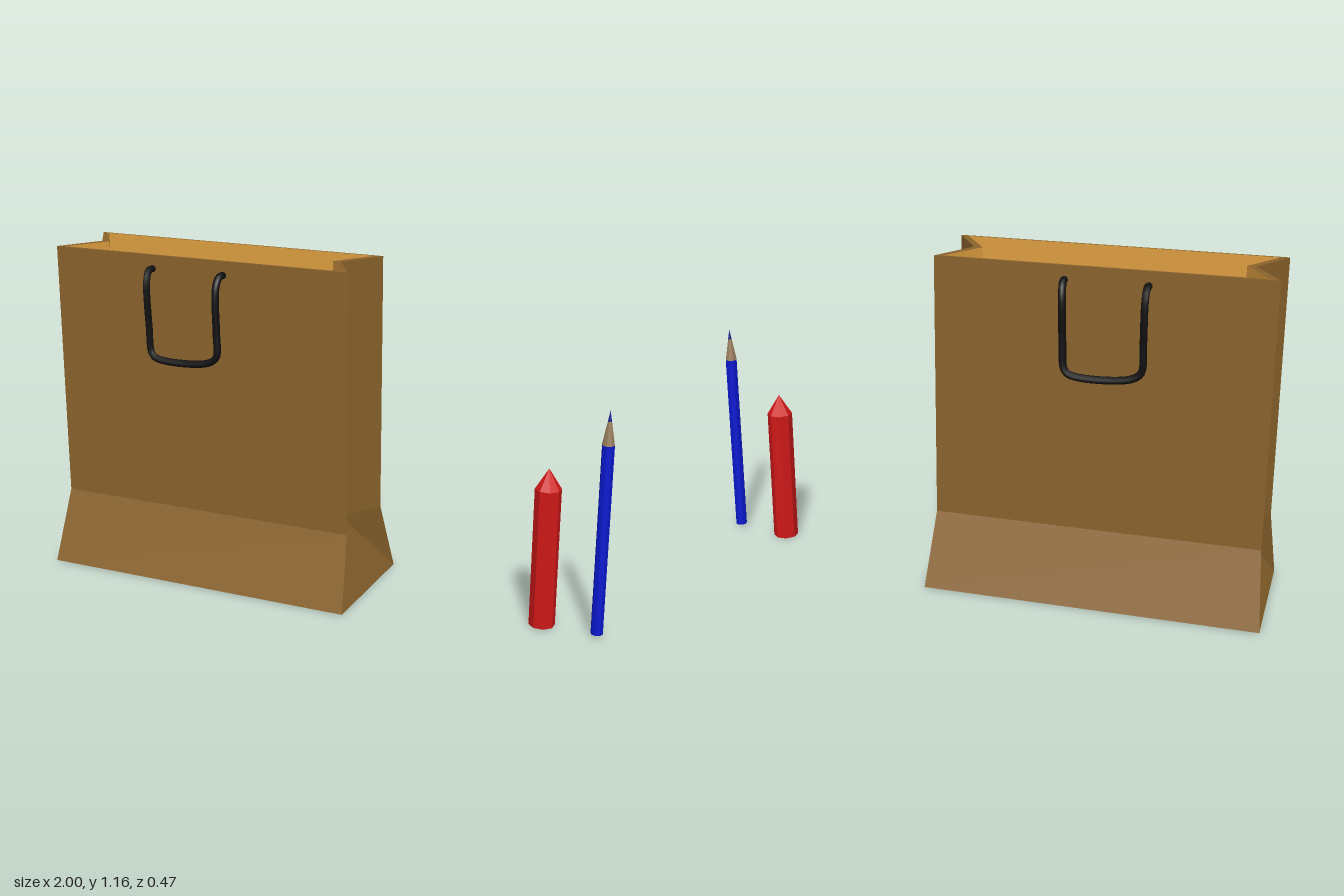
import * as THREE from 'three';

const CX = -0.425; // middle of the bag in x

// six-point section: front edge, right fold, back edge, left fold
function ring(y, halfX, foldX, halfZ) {
  return [[-halfX, halfZ], [halfX, halfZ], [foldX, 0], [halfX, -halfZ], [-halfX, -halfZ], [-foldX, 0]]
    .map(([x, z]) => new THREE.Vector3(CX + x, y, z));
}

function material(color, options = {}) {
  return new THREE.MeshStandardMaterial({ color, ...options });
}

function facetedMesh(name, triangles, color) {
  const geometry = new THREE.BufferGeometry().setFromPoints(triangles);
  geometry.computeVertexNormals();
  const mesh = new THREE.Mesh(geometry, material(color, { side: THREE.DoubleSide }));
  mesh.name = name;
  return mesh;
}

// walls between two sections; the diagonals run into the side folds
function band(lower, upper) {
  const out = [];
  for (let i = 0; i < 6; i++) {
    const j = (i + 1) % 6;
    const [a, b, c, d] = [lower[i], lower[j], upper[j], upper[i]];
    if (i === 2 || i === 5) out.push(a, b, d, b, c, d);
    else out.push(a, b, c, a, c, d);
  }
  return out;
}

const cap = r => [r[0], r[1], r[3], r[0], r[3], r[4]];

function flip(t) {
  const out = [];
  for (let i = 0; i < t.length; i += 3) out.push(t[i], t[i + 2], t[i + 1]);
  return out;
}

function createBag() {
  const bag = new THREE.Group();
  bag.name = 'paperBag';
  const outer = [ring(0, 0.575, 0.575, 0.237), ring(0.255, 0.555, 0.465, 0.15), ring(1.16, 0.555, 0.465, 0.15)];
  const inner = [ring(0.01, 0.55, 0.55, 0.225), ring(0.255, 0.525, 0.435, 0.141), ring(1.16, 0.525, 0.435, 0.141)];
  const brown = 0x8a632c;
  bag.add(
    facetedMesh('bagOutside', [...band(outer[0], outer[1]), ...band(outer[1], outer[2]), ...flip(cap(outer[0]))], brown),
    facetedMesh('bagRim', band(outer[2], inner[2]), brown),
    facetedMesh('bagInside', [...flip(band(inner[0], inner[1])), ...flip(band(inner[1], inner[2])), ...cap(inner[0])], 0xdd9e40)
  );
  return bag;
}

// cord handle hanging from the panel, x measured from the handle's middle
function createHandle(name) {
  const points = [
    [-0.145, 1.112, 0.145], [-0.143, 1.11, 0.18], [-0.138, 1.075, 0.204],
    [-0.134, 0.92, 0.205], [-0.127, 0.835, 0.208], [-0.11, 0.818, 0.212],
    [0, 0.807, 0.206], [0.1, 0.822, 0.204], [0.124, 0.845, 0.204],
    [0.126, 0.92, 0.205], [0.126, 1.075, 0.204], [0.126, 1.11, 0.18], [0.126, 1.112, 0.145]
  ].map(p => new THREE.Vector3(...p));
  const curve = new THREE.CatmullRomCurve3(points, false, 'centripetal');
  const handle = new THREE.Mesh(new THREE.TubeGeometry(curve, 64, 0.0125, 8), material(0x111111));
  handle.name = name;
  handle.position.x = -0.45;
  return handle;
}

function turned(name, profile, sides, color) {
  const geometry = new THREE.LatheGeometry(profile.map(p => new THREE.Vector2(...p)), sides);
  const mesh = new THREE.Mesh(geometry, material(color, { flatShading: true }));
  mesh.name = name;
  return mesh;
}

export function createModel() {
  const model = new THREE.Group();
  model.name = 'bagWithPencilAndCrayon';

  const backHandle = createHandle('backHandle');
  backHandle.rotation.y = Math.PI;
  model.add(createBag(), createHandle('frontHandle'), backHandle);

  // thick crayon with a pointed end
  const crayon = turned('crayon', [[0, 0], [0.044, 0], [0.044, 0.482], [0, 0.552]], 8, 0xd01818);
  crayon.position.set(0.788, 0, 0.028);
  crayon.rotation.y = Math.PI / 8;

  // slim pencil: body, sharpened wood and lead
  const pencil = new THREE.Group();
  pencil.name = 'pencil';
  pencil.add(
    turned('pencilEnd', [[0, 0.012], [0.0205, 0.012]], 8, 0x9a7d5c),
    turned('pencilBody', [[0.0205, 0.012], [0.0205, 0.664]], 8, 0x0a18d0),
    turned('pencilWood', [[0.0205, 0.664], [0.0065, 0.742]], 8, 0x9a7d5c),
    turned('pencilLead', [[0.0065, 0.742], [0, 0.778]], 8, 0x0a1890)
  );
  pencil.position.set(0.979, 0, 0.047);
  model.add(crayon, pencil);
  return model;
}
